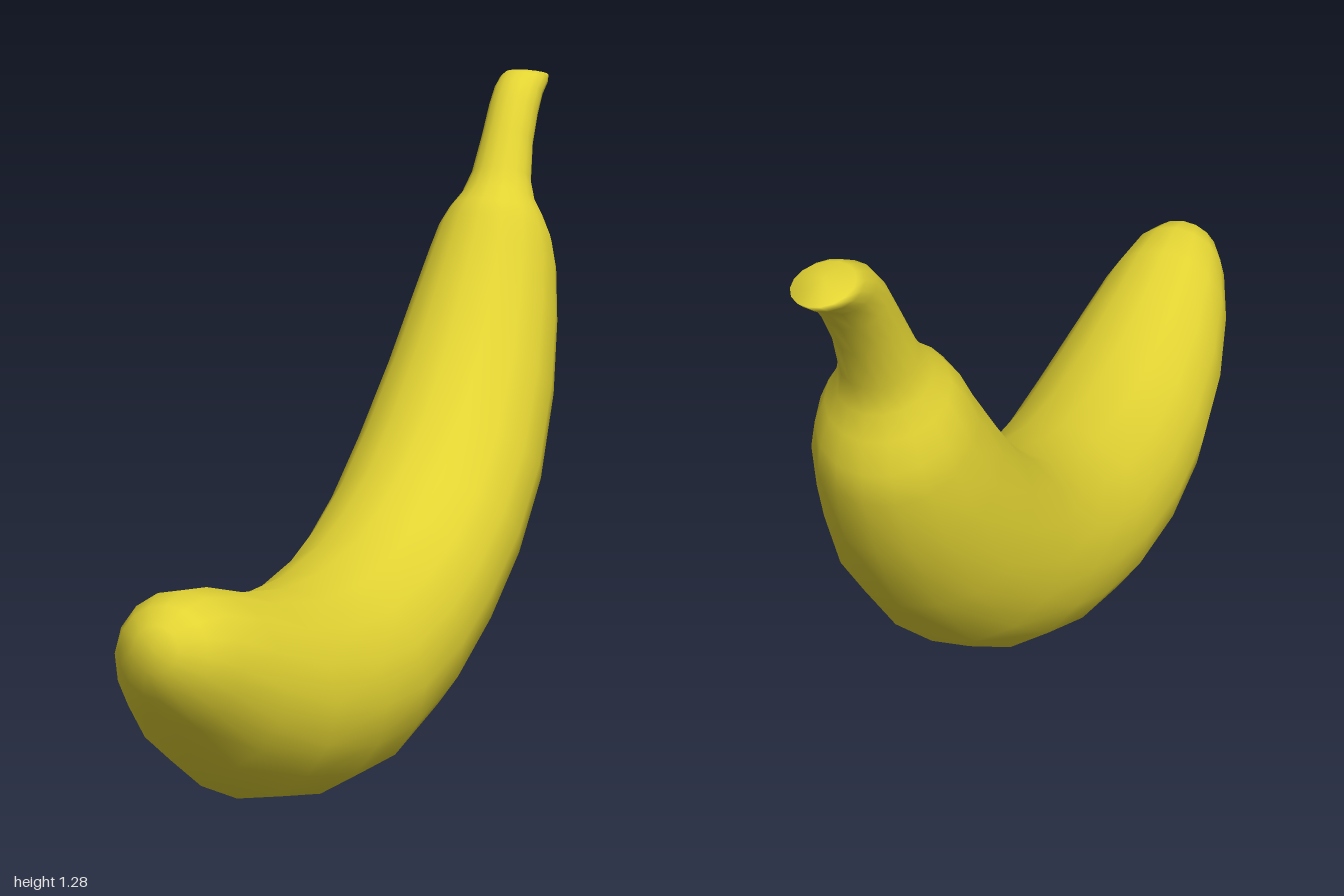
import * as THREE from 'three';
import { mergeVertices } from 'three/addons/utils/BufferGeometryUtils.js';

const SIDES = 16;

// Cross-sections from blossom end to stem: [inner z, inner y, outer z, outer y, half width]
const SECTIONS = [
  [0.995, 0.44, 0.995, 0.44, 0],
  [0.983, 0.475, 0.998, 0.40, 0.04],
  [0.95, 0.50, 0.98, 0.35, 0.08],
  [0.89, 0.51, 0.93, 0.285, 0.115],
  [0.80, 0.493, 0.83, 0.185, 0.15],
  [0.66, 0.45, 0.69, 0.09, 0.18],
  [0.47, 0.41, 0.50, 0.03, 0.20],
  [0.30, 0.40, 0.30, 0.005, 0.205],
  [0.12, 0.42, 0.05, 0.035, 0.205],
  [0.00, 0.455, -0.19, 0.115, 0.205],
  [-0.13, 0.51, -0.40, 0.225, 0.205],
  [-0.26, 0.60, -0.58, 0.365, 0.20],
  [-0.40, 0.73, -0.72, 0.54, 0.183],
  [-0.50, 0.85, -0.80, 0.70, 0.162],
  [-0.57, 0.94, -0.838, 0.82, 0.142],
  [-0.60, 0.99, -0.842, 0.88, 0.126],
  [-0.63, 1.02, -0.828, 0.935, 0.105],
  [-0.665, 1.045, -0.817, 0.98, 0.082],
  [-0.70, 1.085, -0.818, 1.03, 0.067],
  [-0.75, 1.165, -0.85, 1.11, 0.058],
  [-0.795, 1.23, -0.89, 1.175, 0.056],
  [-0.83, 1.265, -0.93, 1.222, 0.055],
  [-0.87, 1.286, -0.975, 1.25, 0.054],
  [-0.885, 1.29, -1.0, 1.27, 0.048],
  [-0.94, 1.288, -0.94, 1.288, 0],
];

// Skin a closed tube through elliptical rings
function loft(sections) {
  const positions = [], index = [];
  for (const [iz, iy, oz, oy, w] of sections) {
    for (let s = 0; s < SIDES; s++) {
      const a = (s / SIDES) * Math.PI * 2;
      const t = (1 - Math.cos(a)) / 2;
      positions.push(w * Math.sin(a), iy + (oy - iy) * t, iz + (oz - iz) * t);
    }
  }
  const last = sections.length - 2;
  for (let r = 0; r <= last; r++) {
    for (let s = 0; s < SIDES; s++) {
      const a = r * SIDES + s, b = r * SIDES + (s + 1) % SIDES;
      // the end rings collapse to a point, so they need one triangle per side
      if (r > 0) index.push(a, b, a + SIDES);
      if (r < last) index.push(b, b + SIDES, a + SIDES);
    }
  }
  const raw = new THREE.BufferGeometry();
  raw.setAttribute('position', new THREE.Float32BufferAttribute(positions, 3));
  raw.setIndex(index);
  const geometry = mergeVertices(raw, 1e-4);
  geometry.computeVertexNormals();
  return geometry;
}

export function createModel() {
  const group = new THREE.Group();
  group.name = 'banana';
  const peel = new THREE.MeshStandardMaterial({ color: 0xe2d333 });
  peel.name = 'yellow peel';
  const fruit = new THREE.Mesh(loft(SECTIONS), peel);
  fruit.name = 'peelAndStem';
  group.add(fruit);
  return group;
}
